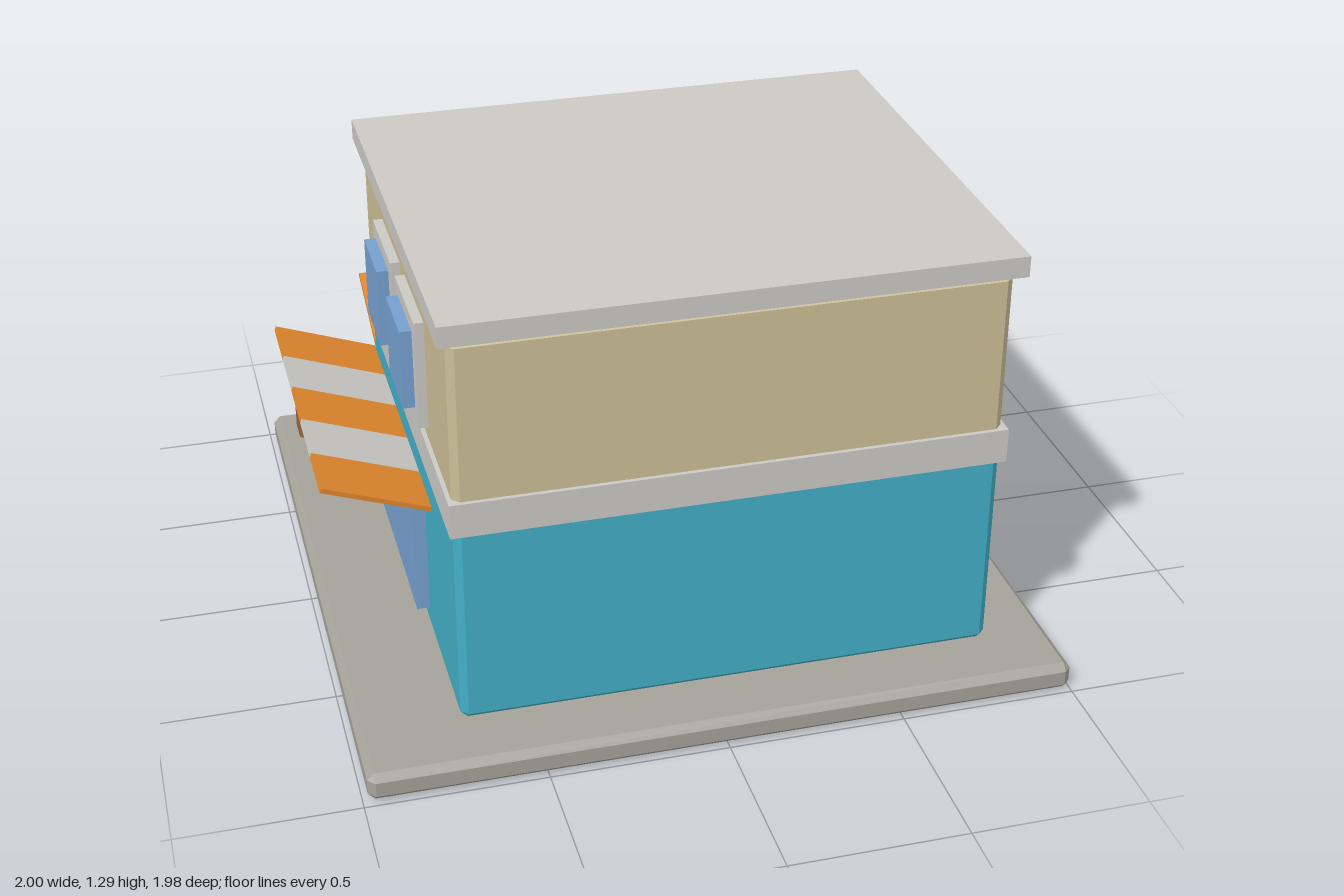
import * as THREE from 'three';
import { ConvexGeometry } from 'three/addons/geometries/ConvexGeometry.js';

const mat = (name, color) => {
  const m = new THREE.MeshStandardMaterial({ color });
  m.name = name;
  return m;
};

export function createModel() {
  const model = new THREE.Group();
  const paving = mat('paving', 0xa5a299);
  const teal = mat('teal wall', 0x42aec5);
  const sand = mat('sand wall', 0xcbbe97);
  const trim = mat('pale trim', 0xcac9c4);
  const orange = mat('orange', 0xe0862d);
  const glass = mat('glass', 0x769fd0);
  const doorBlue = mat('door blue', 0x4e6da3);
  const wood = mat('wood', 0x946540);
  const leaf = mat('leaf', 0x5aad4c);

  const add = (name, geometry, material, parent = model) => {
    const mesh = new THREE.Mesh(geometry, material);
    mesh.name = name;
    parent.add(mesh);
    return mesh;
  };

  // Box given by its limits on each axis
  const box = (name, material, [x0, x1], [y0, y1], [z0, z1]) => {
    const mesh = add(name, new THREE.BoxGeometry(x1 - x0, y1 - y0, z1 - z0), material);
    mesh.position.set((x0 + x1) / 2, (y0 + y1) / 2, (z0 + z1) / 2);
    return mesh;
  };

  // Box with chamfered edges: each corner becomes three points
  const chamferBox = (name, material, [x0, x1], [y0, y1], [z0, z1], b = 0.02) => {
    const half = [(x1 - x0) / 2, (y1 - y0) / 2, (z1 - z0) / 2];
    const points = [];
    for (const sx of [-1, 1]) for (const sy of [-1, 1]) for (const sz of [-1, 1]) {
      for (let axis = 0; axis < 3; axis++) {
        const h = half.map((v, i) => (i === axis ? v : v - b));
        points.push(new THREE.Vector3(sx * h[0], sy * h[1], sz * h[2]));
      }
    }
    const mesh = add(name, new ConvexGeometry(points), material);
    mesh.position.set((x0 + x1) / 2, (y0 + y1) / 2, (z0 + z1) / 2);
    return mesh;
  };

  // Ground slab, two storeys, band and roof
  chamferBox('groundSlab', paving, [-0.985, 1], [0, 0.083], [-0.99, 0.99]);
  chamferBox('lowerStorey', teal, [-0.7, 0.81], [0.083, 0.72], [-0.495, 0.81]);
  chamferBox('upperStorey', sand, [-0.7, 0.81], [0.74, 1.24], [-0.495, 0.81]);
  box('middleBand', trim, [-0.712, 0.822], [0.675, 0.775], [-0.51, 0.822]);
  box('roof', trim, [-0.725, 0.84], [1.235, 1.295], [-0.527, 0.828]);

  // Upper windows: frame with a raised pane
  const frameY = [0.815, 1.13], paneY = [0.86, 1.09];
  for (const x of [-0.285, 0.06, 0.41]) {
    box('backWindowFrame', trim, [x - 0.145, x + 0.145], frameY, [-0.525, -0.48]);
    box('backWindowPane', glass, [x - 0.107, x + 0.107], paneY, [-0.562, -0.5]);
  }
  for (const z of [-0.033, 0.335]) {
    box('sideWindowFrame', trim, [-0.727, -0.68], frameY, [z - 0.145, z + 0.145]);
    box('sideWindowPane', glass, [-0.76, -0.7], paneY, [z - 0.107, z + 0.107]);
  }
  box('flowerBox', leaf, [-0.2, 0.53], [0.73, 0.815], [-0.55, -0.48]);

  // Street level glazing and door
  box('backShopWindow', glass, [-0.07, 0.73], [0.15, 0.545], [-0.537, -0.48]);
  box('sideShopWindow', glass, [-0.737, -0.68], [0.15, 0.545], [-0.37, 0.35]);
  box('door', doorBlue, [-0.53, -0.29], [0.105, 0.54], [-0.537, -0.48]);

  // Striped awnings, rising outwards along local -z
  const awning = (name, count, length) => {
    const group = new THREE.Group();
    const tilt = new THREE.Group();
    const run = 0.315, rise = 0.112, w = length / count;
    group.name = name;
    tilt.rotation.x = Math.atan2(rise, run);
    tilt.position.y = 0.542;
    const depth = Math.hypot(run, rise);
    for (let i = 0; i < count; i++) {
      const stripe = add('awningStripe', new THREE.BoxGeometry(w, 0.014, depth), i % 2 ? trim : orange, tilt);
      stripe.position.set((i + 0.5) * w - length / 2, 0, -depth / 2);
    }
    group.add(tilt);
    model.add(group);
    return group;
  };
  awning('backAwning', 7, 1.512).position.set(0.06, 0, -0.483);
  const side = awning('sideAwning', 5, 0.967);
  side.rotation.y = Math.PI / 2;
  side.position.set(-0.683, 0, -0.018);

  // Faceted ball with a vertex at the top
  const ball = (name, material, r, squash, x, y, z) => {
    const g = new THREE.IcosahedronGeometry(r, 0);
    g.rotateZ(Math.atan(2 / (1 + Math.sqrt(5))));
    g.scale(1, squash, 1);
    g.computeVertexNormals();
    add(name, g, material).position.set(x, y, z);
  };

  // Potted shrub
  const pot = new THREE.CylinderGeometry(0.08, 0.08, 0.11, 6).toNonIndexed();
  pot.computeVertexNormals();
  add('plantPot', pot, wood).position.set(-0.85, 0.137, -0.857);
  ball('shrub', leaf, 0.1, 0.85, -0.85, 0.245, -0.857);

  // Produce crates
  [leaf, orange, wood].forEach((material, i) => {
    const x = 0.18 + i * 0.233;
    box('crate', wood, [x - 0.1, x + 0.1], [0.08, 0.167], [-0.775, -0.635]);
    ball('produce', material, 0.055, 0.5, x, 0.169, -0.705);
  });

  return model;
}
